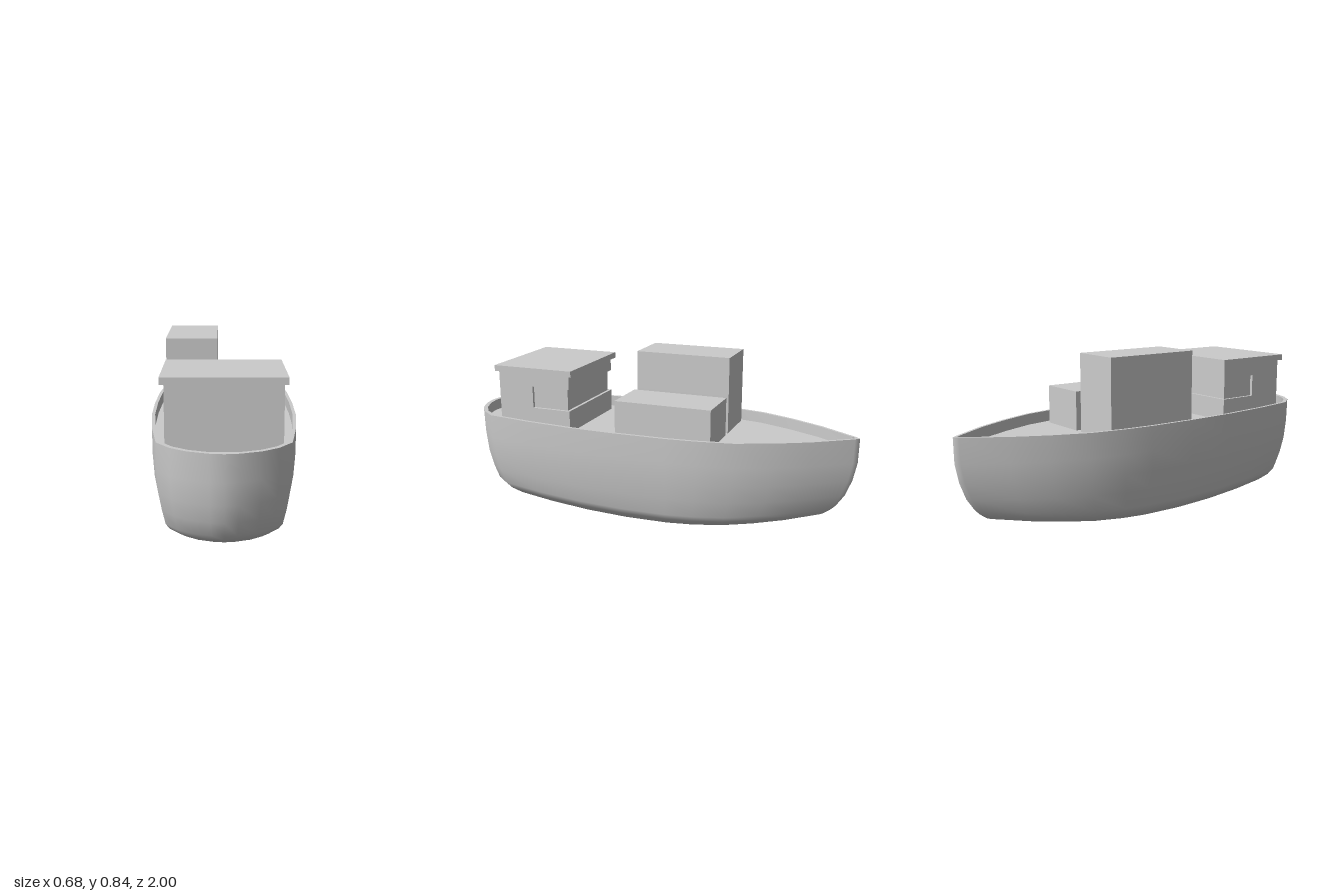
import * as THREE from 'three';

const DECK = 0.455, RIM = 0.51;

// Half plan of the hull at the rim, bow (-z) to stern (+z): [x, z]
const HALF = [
  [0, -1], [0.02, -0.98], [0.14, -0.8], [0.222, -0.64], [0.29, -0.47], [0.322, -0.3], [0.336, -0.15],
  [0.342, 0.1], [0.337, 0.35], [0.315, 0.6], [0.28, 0.83], [0.22, 0.91], [0.15, 0.96], [0.06, 0.992], [0, 1],
];
const OUTLINE = [...HALF, ...HALF.slice(1, -1).reverse().map(([x, z]) => [-x, z])];

// One closed ring: outline scaled in width, bow and stern, rising towards its ends
function ring(y, sx, bow = 1, stern = 1, bowRise = 0, sternRise = 0) {
  return OUTLINE.map(([x, z]) => new THREE.Vector3(
    x * sx,
    y + (z < 0 ? bowRise : sternRise) * Math.abs(z) ** 1.75,
    z * (z < 0 ? bow : stern),
  ));
}

// Surface through a list of rings
function loft(rings, material, name) {
  const n = OUTLINE.length, index = [];
  for (let l = 0; l < rings.length - 1; l++) {
    for (let i = 0; i < n; i++) {
      const a = l * n + i, b = l * n + (i + 1) % n;
      index.push(a, b, a + n, b, b + n, a + n);
    }
  }
  const geometry = new THREE.BufferGeometry().setFromPoints(rings.flat());
  geometry.setIndex(index);
  geometry.computeVertexNormals();
  const mesh = new THREE.Mesh(geometry, material);
  mesh.name = name;
  return mesh;
}

// Box given by its bounds
function block(name, material, [x0, x1], [y0, y1], [z0, z1]) {
  const mesh = new THREE.Mesh(new THREE.BoxGeometry(x1 - x0, y1 - y0, z1 - z0), material);
  mesh.position.set((x0 + x1) / 2, (y0 + y1) / 2, (z0 + z1) / 2);
  mesh.name = name;
  return mesh;
}

export function createModel() {
  const model = new THREE.Group();
  model.name = 'cargoBoat';
  const grey = new THREE.MeshStandardMaterial({ color: 0xcccccc, side: THREE.DoubleSide });

  // Hull shell, from the rim down over the round bilge to the keel line
  const hull = new THREE.Group();
  hull.name = 'hull';
  hull.add(loft([
    ring(RIM, 1),
    ring(0.39, 0.998, 0.998, 0.996),
    ring(0.29, 0.978, 0.98, 0.985, 0.01),
    ring(0.2, 0.938, 0.95, 0.965, 0.02, 0.01),
    ring(0.11, 0.89, 0.91, 0.94, 0.05, 0.035),
    ring(0.08, 0.84, 0.885, 0.91, 0.055, 0.035),
    ring(0.045, 0.73, 0.85, 0.86, 0.065, 0.04),
    ring(0, 0, 0.85, 0.86, 0.11, 0.085),
  ], grey, 'hullShell'));

  // Bulwark top, its inner wall and the sunken deck
  const inner = (y, sx = 0.955) => ring(y, sx, 0.978, 0.978);
  hull.add(loft([inner(RIM), ring(RIM, 1)], grey, 'bulwarkTop'));
  hull.add(loft([inner(DECK), inner(RIM)], grey, 'bulwarkInside'));
  hull.add(loft([inner(DECK, 0), inner(DECK)], grey, 'deck'));
  model.add(hull);

  // Wheelhouse with a recessed window band around its forward end
  const house = new THREE.Group();
  house.name = 'wheelhouse';
  const width = [-0.248, 0.248];
  house.add(
    block('lowerWalls', grey, width, [DECK, 0.565], [0.39, 0.785]),
    block('aftWalls', grey, width, [0.565, 0.675], [0.595, 0.785]),
    block('windowBand', grey, [-0.233, 0.233], [0.565, 0.675], [0.405, 0.595]),
    block('upperWalls', grey, width, [0.675, 0.745], [0.39, 0.785]),
    block('roof', grey, [-0.266, 0.264], [0.743, 0.773], [0.37, 0.8]),
  );
  model.add(house);

  // Cargo: two containers stacked on one side, a single one on the other
  const cargo = new THREE.Group();
  cargo.name = 'cargo';
  const length = [-0.35, 0.138], mid = 0.647;
  cargo.add(
    block('lowerContainer', grey, [-0.28, -0.03], [DECK, mid], length),
    block('upperContainer', grey, [-0.28, -0.03], [mid, 0.838], length),
    block('singleContainer', grey, [0.01, 0.26], [DECK, mid], length),
  );
  model.add(cargo);

  return model;
}
